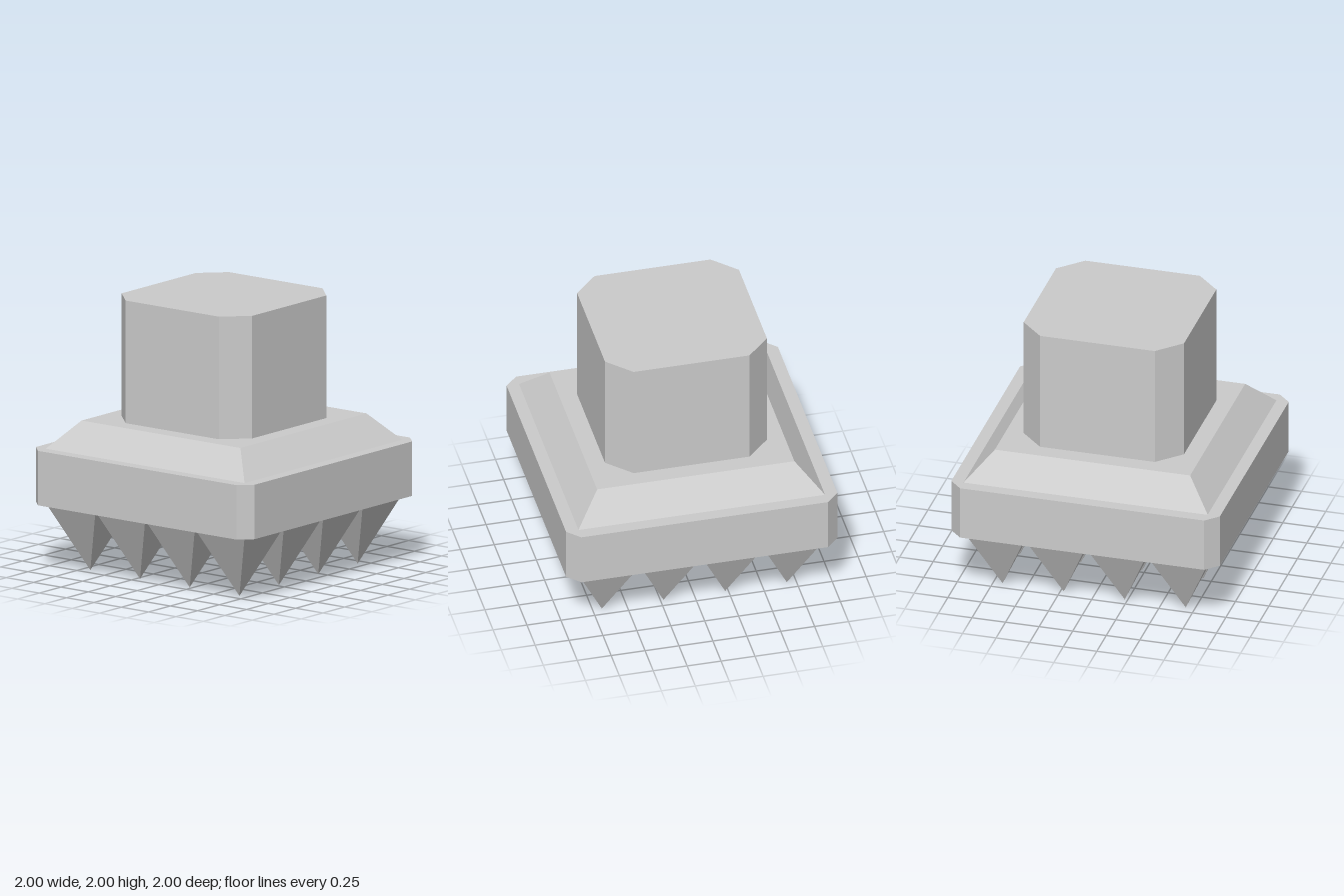
import * as THREE from 'three';

const material = new THREE.MeshStandardMaterial({ color: 0xcccccc, flatShading: true });

function addMesh(parent, name, geometry, x = 0, y = 0, z = 0) {
  const mesh = new THREE.Mesh(geometry, material);
  mesh.name = name;
  mesh.position.set(x, y, z);
  parent.add(mesh);
}

// Upright square block with its four vertical corners cut; base at y = 0
function chamferedBlock(half, flat, height) {
  const shape = new THREE.Shape([
    [half, -flat], [half, flat], [flat, half], [-flat, half],
    [-half, flat], [-half, -flat], [-flat, -half], [flat, -half],
  ].map(([x, y]) => new THREE.Vector2(x, y)));
  return new THREE.ExtrudeGeometry(shape, { depth: height, bevelEnabled: false }).rotateX(-Math.PI / 2);
}

// Square frustum aligned with the axes, sized by half-widths
function squareFrustum(topHalf, bottomHalf, height) {
  return new THREE.CylinderGeometry(topHalf * Math.SQRT2, bottomHalf * Math.SQRT2, height, 4)
    .rotateY(Math.PI / 4);
}

export function createModel() {
  const model = new THREE.Group();
  model.name = 'spikedMallet';

  addMesh(model, 'handle', chamferedBlock(0.597, 0.427, 0.9), 0, 1.1);
  addMesh(model, 'shoulder', squareFrustum(0.727, 0.909, 0.2), 0, 1.0);
  addMesh(model, 'head', chamferedBlock(1, 0.909, 0.4), 0, 0.5);

  // Four by four grid of downward pyramids
  const spikes = new THREE.Group();
  spikes.name = 'spikes';
  model.add(spikes);
  const pitch = 0.4545;
  const spike = new THREE.ConeGeometry(pitch / 2 * Math.SQRT2, 0.5, 4)
    .rotateY(Math.PI / 4).rotateX(Math.PI);
  for (let i = 0; i < 4; i++) {
    for (let j = 0; j < 4; j++) {
      addMesh(spikes, 'spike', spike, (i - 1.5) * pitch, 0.25, (j - 1.5) * pitch);
    }
  }
  return model;
}
